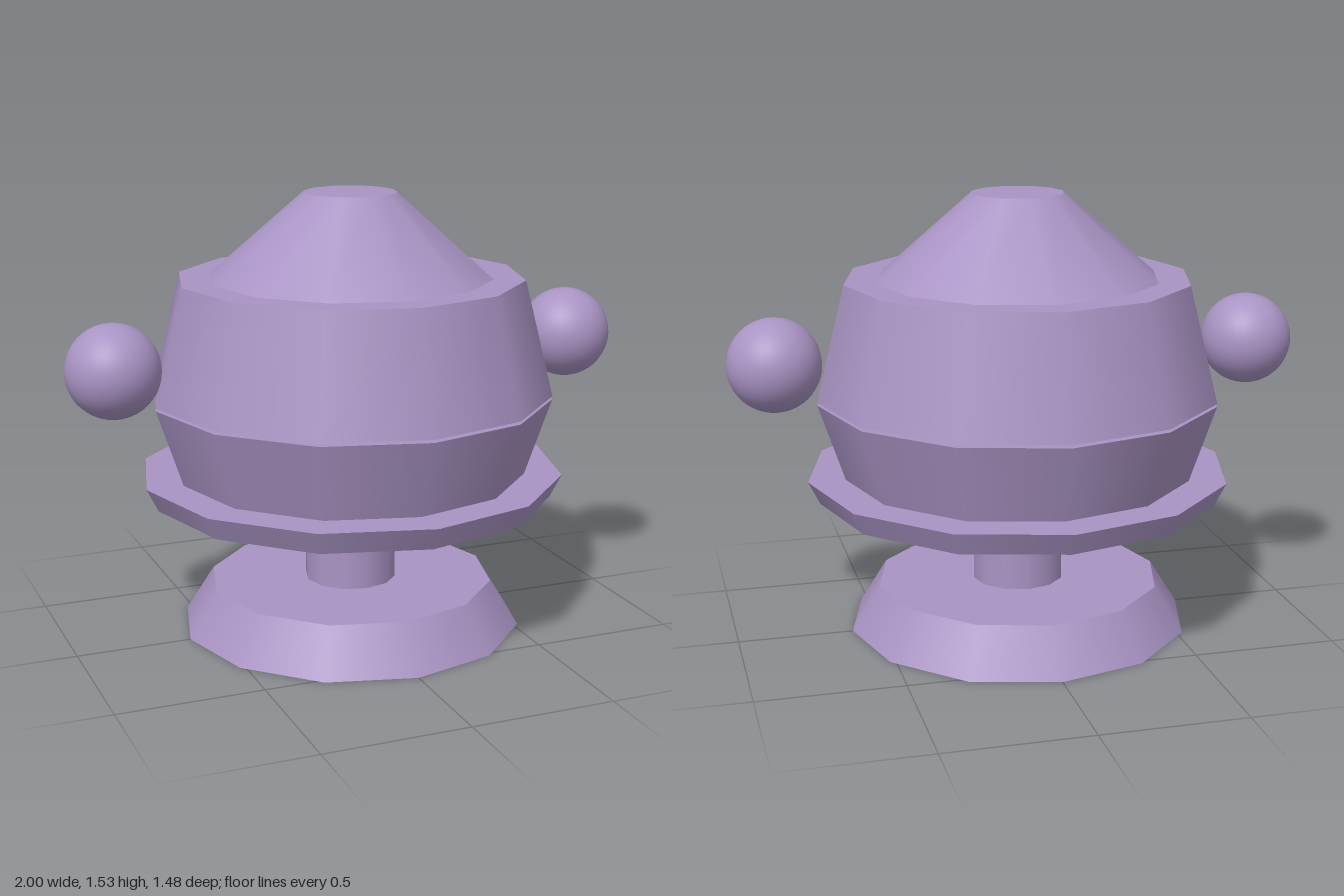
import * as THREE from 'three';

const SIDES = 12;

export function createModel() {
  const model = new THREE.Group();
  const material = new THREE.MeshStandardMaterial({ color: 0xa994c4 });

  const add = (name, geometry, x, y) => {
    const mesh = new THREE.Mesh(geometry, material);
    mesh.name = name;
    mesh.position.set(x, y, 0);
    model.add(mesh);
  };

  // Stacked twelve-sided sections: name, top radius, bottom radius, bottom y, top y
  const sections = [
    ['base', 0.5, 0.6, 0, 0.16],
    ['stem', 0.16, 0.16, 0.16, 0.43],
    ['rim', 0.74, 0.7, 0.48, 0.56],
    ['lowerBody', 0.7, 0.61, 0.56, 0.83],
    ['upperBody', 0.6, 0.7, 0.84, 1.24],
    ['cap', 0.16, 0.49, 1.24, 1.53],
  ];
  for (const [name, top, bottom, y0, y1] of sections) {
    add(name, new THREE.CylinderGeometry(top, bottom, y1 - y0, SIDES), 0, (y0 + y1) / 2);
  }

  // Side knobs
  for (const side of [1, -1]) {
    add(side > 0 ? 'leftKnob' : 'rightKnob', new THREE.SphereGeometry(0.16, 32, 24), side * 0.84, 0.98);
  }

  return model;
}
